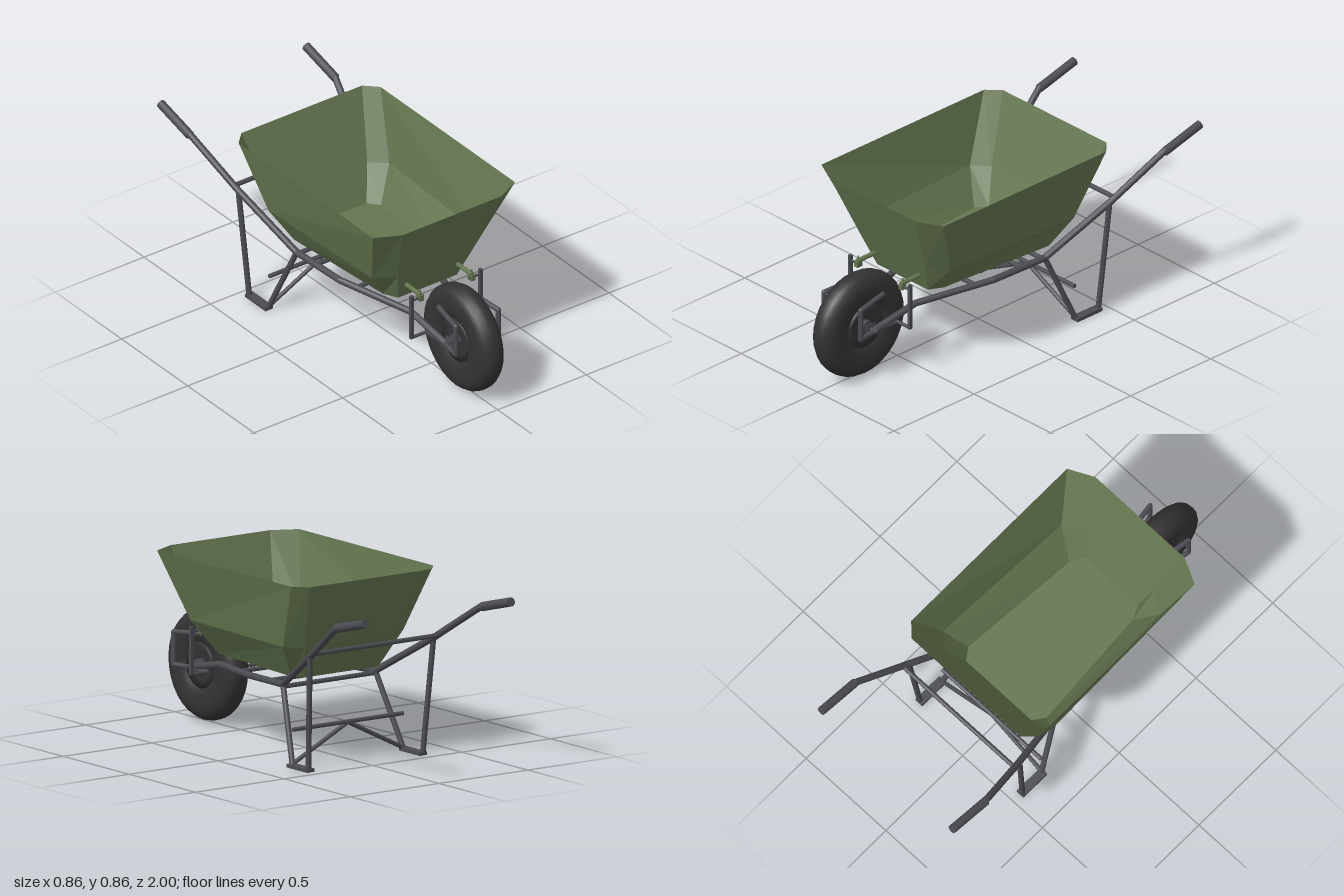
import * as THREE from 'three';

const steel = new THREE.MeshStandardMaterial({ color: 0x4b4c52 });
const rubber = new THREE.MeshStandardMaterial({ color: 0x333333 });
const green = new THREE.MeshStandardMaterial({ color: 0x64754f });
const trayGreen = new THREE.MeshStandardMaterial({ color: 0x64754f, flatShading: true, side: THREE.DoubleSide });

function add(parent, name, geometry, material, x = 0, y = 0, z = 0) {
  const mesh = new THREE.Mesh(geometry, material);
  mesh.name = name;
  mesh.position.set(x, y, z);
  parent.add(mesh);
  return mesh;
}

// Straight tubes through the points, with ball joints at the bends
function pipe(parent, name, radius, points, material = steel) {
  const group = new THREE.Group();
  group.name = name;
  const v = points.map(p => new THREE.Vector3(...p));
  for (let i = 0; i < v.length - 1; i++) {
    const dir = v[i + 1].clone().sub(v[i]);
    const tube = add(group, name + 'Tube', new THREE.CylinderGeometry(radius, radius, dir.length(), 12), material);
    tube.position.copy(v[i]).addScaledVector(dir, 0.5);
    tube.quaternion.setFromUnitVectors(new THREE.Vector3(0, 1, 0), dir.normalize());
    if (i > 0) add(group, name + 'Joint', new THREE.SphereGeometry(radius, 12, 8), material, ...v[i].toArray());
  }
  parent.add(group);
}

// Tray: chamfered rectangles stacked from floor to rim, each given by its left half
function trayGeometry() {
  const levels = [
    [0.393, [[0.165, 0.47], [0.2, 0.4], [0.245, -0.21], [0.205, -0.265]]],
    [0.55, [[0.21, 0.53], [0.31, 0.465], [0.34, -0.275], [0.265, -0.34]]],
    [0.86, [[0.28, 0.655], [0.4, 0.595], [0.4, -0.42], [0.34, -0.48]]],
  ];
  const positions = [0, 0.393, 0.1];
  for (const [y, half] of levels) {
    const mirrored = half.map(([x, z]) => [-x, z]).reverse();
    for (const [x, z] of [...half, ...mirrored]) positions.push(x, y, z);
  }
  const index = [];
  for (let i = 0; i < 8; i++) {
    const j = (i + 1) % 8;
    index.push(0, 1 + j, 1 + i);
    for (let level = 0; level < 2; level++) {
      const a = 1 + level * 8 + i, b = 1 + level * 8 + j;
      index.push(a, b, b + 8, a, b + 8, a + 8);
    }
  }
  const geometry = new THREE.BufferGeometry();
  geometry.setAttribute('position', new THREE.Float32BufferAttribute(positions, 3));
  geometry.setIndex(index);
  const flat = geometry.toNonIndexed();
  flat.computeVertexNormals();
  return flat;
}

function lathe(parent, name, points, material) {
  const mesh = add(parent, name, new THREE.LatheGeometry(points.map(p => new THREE.Vector2(...p)), 32), material);
  mesh.rotation.z = -Math.PI / 2;
}

function createWheel() {
  const wheel = new THREE.Group();
  wheel.name = 'wheel';
  wheel.position.set(0, 0.263, 0.745);
  // Tyre: rounded section closed around the hub
  const half = [[0.1, 0.042], [0.115, 0.052], [0.14, 0.06], [0.18, 0.065], [0.215, 0.061], [0.24, 0.046], [0.254, 0.025]];
  const lower = half.map(([r, h]) => [r, -h]);
  lathe(wheel, 'tyre', [...lower, [0.258, 0], ...half.slice().reverse()], rubber);
  // Rim dish and hub
  lathe(wheel, 'rim', [[0, -0.04], [0.07, -0.036], [0.108, -0.047], [0.108, 0.047], [0.07, 0.036], [0, 0.04]], rubber);
  for (const [name, r, w] of [['hub', 0.03, 0.12], ['axle', 0.01, 0.25]]) {
    add(wheel, name, new THREE.CylinderGeometry(r, r, w, 16), steel).rotation.z = Math.PI / 2;
  }
  return wheel;
}

function addSide(parent, s) {
  const side = new THREE.Group();
  side.name = s > 0 ? 'leftSide' : 'rightSide';
  parent.add(side);
  const run = (name, radius, points, material) =>
    pipe(side, name, radius, points.map(([x, y, z]) => [s * x, y, z]), material);
  const block = (name, w, h, d, x, y, z, material = steel) =>
    add(side, name, new THREE.BoxGeometry(w, h, d), material, s * x, y, z);

  // Main rail from handle to axle, and the grip
  run('mainRail', 0.016, [[0.41, 0.735, -0.78], [0.345, 0.55, -0.5], [0.26, 0.352, -0.17],
    [0.24, 0.345, 0.13], [0.115, 0.315, 0.5], [0.1, 0.262, 0.745]]);
  run('grip', 0.021, [[0.41, 0.728, -0.775], [0.41, 0.786, -0.995]]);

  // Legs and foot
  run('frontLeg', 0.013, [[0.26, 0.35, -0.17], [0.312, 0.012, -0.31]]);
  run('backLeg', 0.013, [[0.348, 0.54, -0.49], [0.322, 0.012, -0.445]]);
  block('foot', 0.042, 0.016, 0.155, 0.317, 0.008, -0.378);
  run('diagonalBrace', 0.01, [[0.31, 0.015, -0.31], [0, 0.17, -0.31]]);

  // Wheel guard
  run('wheelGuard', 0.012, [[0.104, 0.26, 0.61], [0.104, 0.26, 0.745], [0.12, 0.26, 0.845],
    [0.12, 0.41, 0.845], [0.095, 0.424, 0.68]]);
  block('axleTab', 0.004, 0.05, 0.05, 0.082, 0.262, 0.745);

  // Tray bracket, tied to the tray by a green clamp
  run('bracketFoot', 0.008, [[0.104, 0.262, 0.61], [0.195, 0.262, 0.61]]);
  block('bracketPost', 0.016, 0.225, 0.016, 0.195, 0.37, 0.61);
  run('bracketRod', 0.006, [[0.195, 0.457, 0.61], [0.13, 0.457, 0.61]]);
  block('trayClamp', 0.022, 0.03, 0.03, 0.145, 0.459, 0.608, green);
  run('clampPin', 0.004, [[0.145, 0.435, 0.608], [0.145, 0.497, 0.608]], green);
  run('clampArm', 0.011, [[0.145, 0.473, 0.505], [0.145, 0.473, 0.615]], green);
}

export function createModel() {
  const model = new THREE.Group();
  model.name = 'wheelbarrow';

  add(model, 'tray', trayGeometry(), trayGreen);
  model.add(createWheel());
  for (const s of [1, -1]) addSide(model, s);

  // Cross bars: half length, height, depth position, radius
  const bars = [
    ['backCrossBar', 0.345, 0.562, -0.525, 0.011],
    ['railCrossBar', 0.26, 0.342, -0.17, 0.011],
    ['rearTrayBar', 0.25, 0.346, -0.04, 0.011],
    ['frontTrayBar', 0.215, 0.342, 0.22, 0.011],
    ['legCrossBar', 0.31, 0.172, -0.31, 0.01],
  ];
  for (const [name, x, y, z, r] of bars) pipe(model, name, r, [[-x, y, z], [x, y, z]]);
  // Thin straps under the tray
  for (const z of [-0.04, 0.22]) add(model, 'trayStrap', new THREE.BoxGeometry(0.34, 0.006, 0.02), steel, 0, 0.389, z);

  return model;
}
